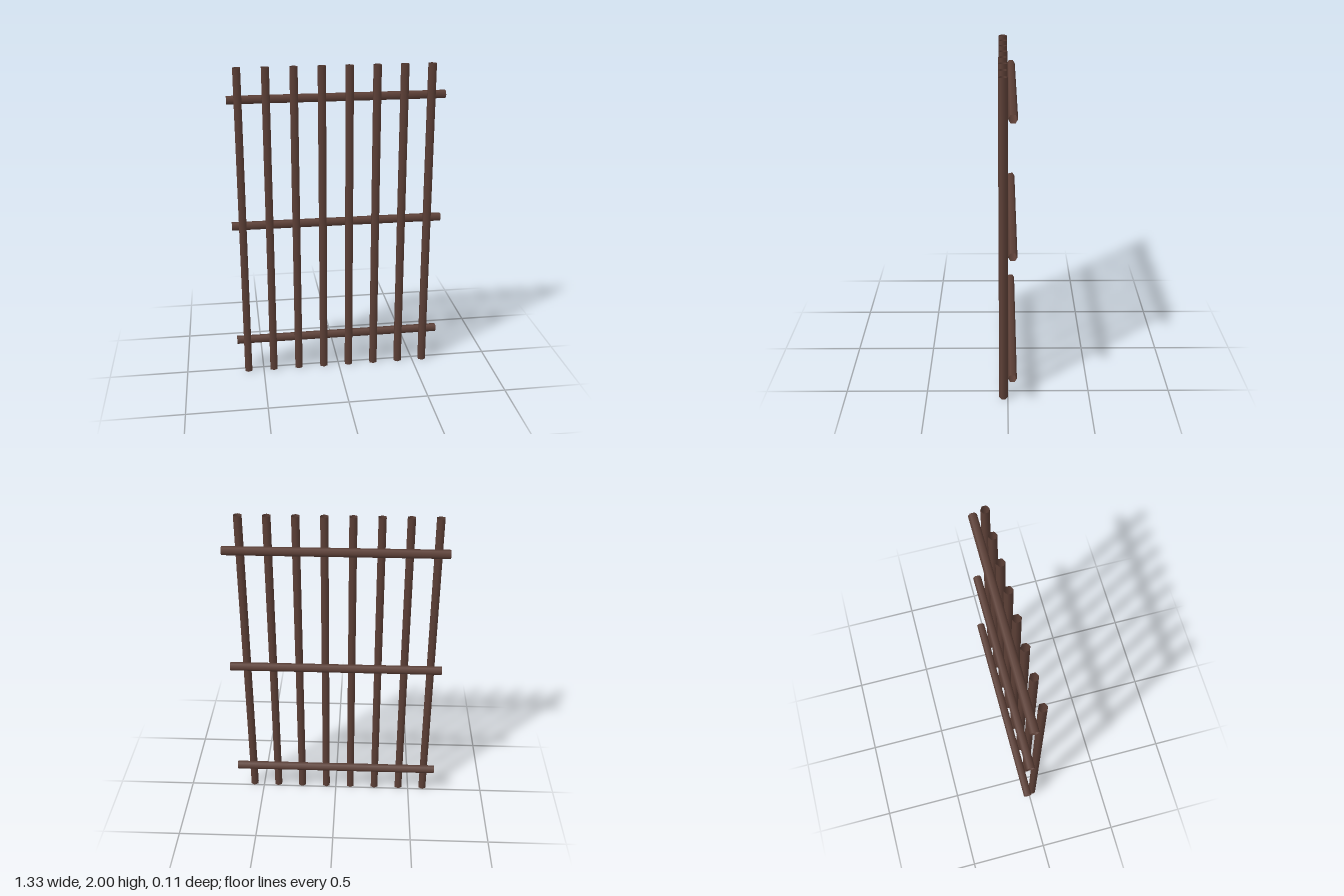
import * as THREE from 'three';

export function createModel() {
  const model = new THREE.Group();
  model.name = 'barGrille';

  const brown = new THREE.MeshStandardMaterial({ color: 0x5d4037, side: THREE.DoubleSide });
  brown.name = 'dark brown';

  const radius = 0.0267;
  const height = 2;
  const width = 1.333;

  // open-ended, smooth six-sided rod
  const rod = (name, length) => {
    const mesh = new THREE.Mesh(new THREE.CylinderGeometry(radius, radius, length, 6, 1, true), brown);
    mesh.name = name;
    model.add(mesh);
    return mesh;
  };

  // upright bars in front
  for (let i = 0; i < 8; i++) {
    rod('uprightBar' + (i + 1), height).position.set(-0.6 + i * 0.1667, height / 2, radius);
  }

  // cross rails behind the bars
  [0.2, 1, 1.8].forEach((y, i) => {
    const rail = rod('crossRail' + (i + 1), width);
    rail.rotation.z = Math.PI / 2;
    rail.position.set(0, y, -radius);
  });

  return model;
}
